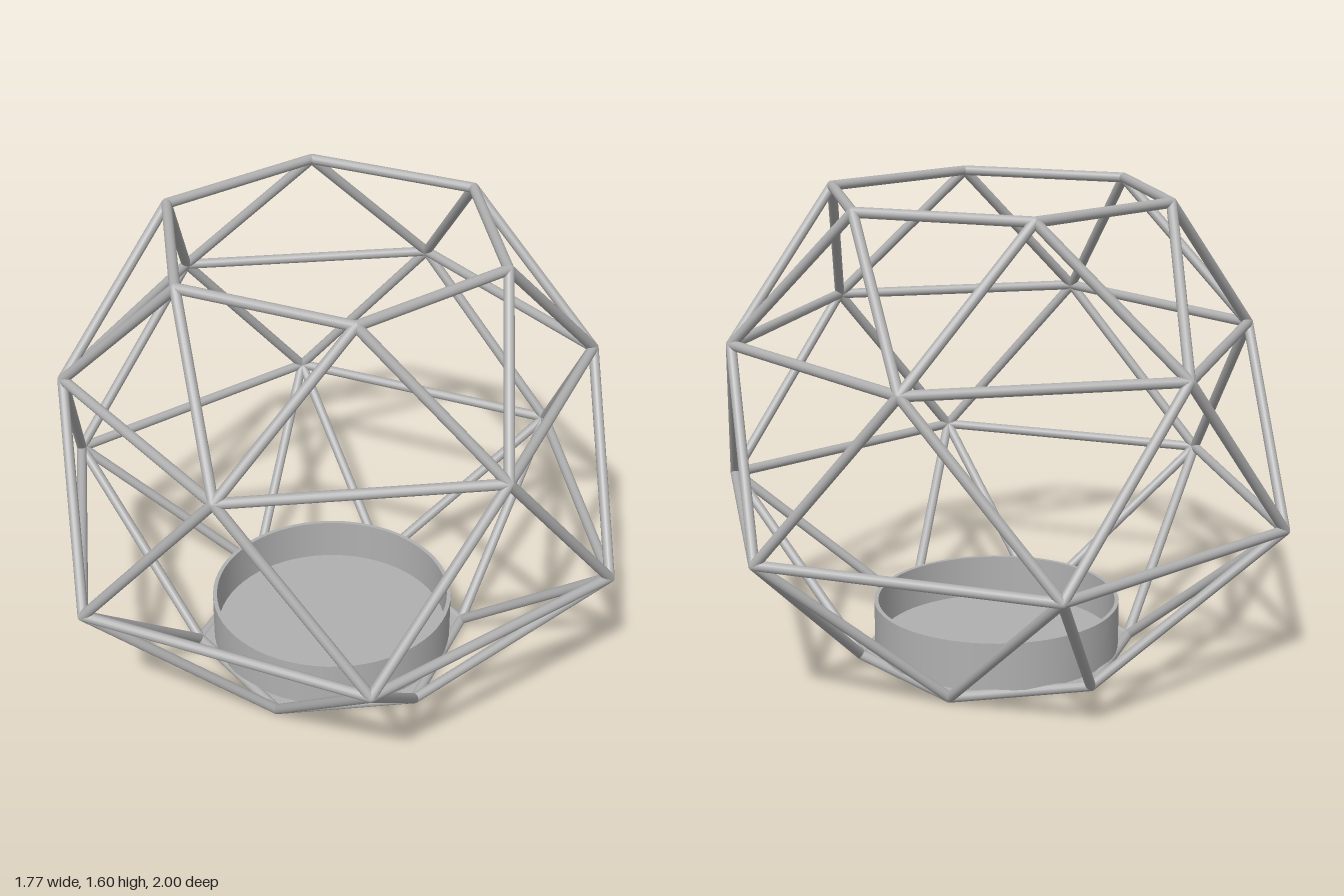
import * as THREE from 'three';

const metal = new THREE.MeshStandardMaterial({ color: 0xb0b0b0 });
metal.name = 'grey metal';

const R = 0.017; // strut radius
const UP = new THREE.Vector3(0, 1, 0);

// Six corners of a level hexagon
function hexRing(radius, y, startDeg) {
  return Array.from({ length: 6 }, (_, i) => {
    const a = THREE.MathUtils.degToRad(startDeg + i * 60);
    return new THREE.Vector3(Math.cos(a) * radius, y, Math.sin(a) * radius);
  });
}

// Round rod between two points
function strut(a, b, name) {
  const dir = b.clone().sub(a);
  const mesh = new THREE.Mesh(new THREE.CylinderGeometry(R, R, dir.length(), 16), metal);
  mesh.position.copy(a).add(b).multiplyScalar(0.5);
  mesh.quaternion.setFromUnitVectors(UP, dir.normalize());
  mesh.name = name;
  return mesh;
}

export function createModel() {
  const model = new THREE.Group();
  model.name = 'geodesicCandleHolder';

  // Wire cage: four hexagons, each turned 30 degrees from the one below
  const rings = [
    hexRing(0.47, R, 0),
    hexRing(0.982, 0.543, 30),
    hexRing(0.87, 1.122, 0),
    hexRing(0.58, 1.584, 30),
  ];
  const cage = new THREE.Group();
  cage.name = 'cage';
  const jointGeometry = new THREE.SphereGeometry(R, 16, 10);
  rings.forEach((ring, level) => {
    ring.forEach((p, i) => {
      cage.add(strut(p, ring[(i + 1) % 6], 'ringStrut'));
      const joint = new THREE.Mesh(jointGeometry, metal);
      joint.position.copy(p);
      joint.name = 'joint';
      cage.add(joint);
      if (level < 3) {
        // Two diagonals rise to the neighbouring corners above
        const shift = level % 2 ? 1 : 5;
        cage.add(strut(p, rings[level + 1][i], 'diagonalStrut'));
        cage.add(strut(p, rings[level + 1][(i + shift) % 6], 'diagonalStrut'));
      }
    });
  });
  model.add(cage);

  // Hexagonal base plate
  const plate = new THREE.Mesh(new THREE.CylinderGeometry(0.47, 0.47, 0.024, 6).toNonIndexed(), metal);
  plate.geometry.computeVertexNormals();
  plate.rotation.y = Math.PI / 6;
  plate.position.y = 0.016;
  plate.name = 'basePlate';
  model.add(plate);

  // Shallow candle cup: outer wall, rim, inner wall and floor
  const cup = new THREE.Group();
  cup.name = 'candleCup';
  const profile = [[0.42, 0.02], [0.42, 0.193], [0.406, 0.193], [0.406, 0.045], [0, 0.045]];
  const names = ['outerWall', 'rim', 'innerWall', 'cupFloor'];
  names.forEach((name, i) => {
    const points = [profile[i], profile[i + 1]].map(([x, y]) => new THREE.Vector2(x, y));
    const part = new THREE.Mesh(new THREE.LatheGeometry(points, 64), metal);
    part.name = name;
    cup.add(part);
  });
  model.add(cup);

  return model;
}
